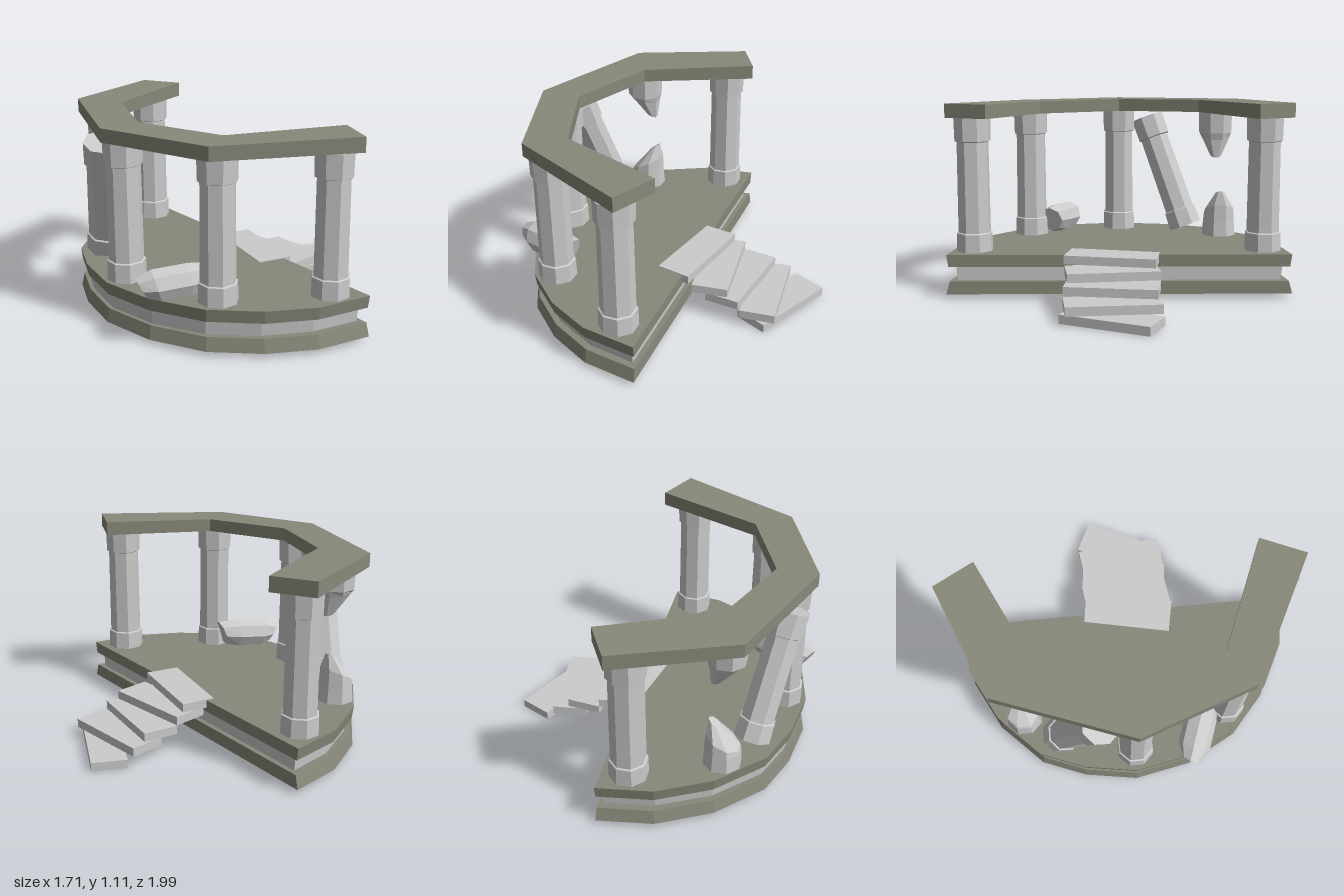
import * as THREE from 'three';

const PALE = new THREE.MeshStandardMaterial({ color: 0xcccccc, flatShading: true });
const OLIVE = new THREE.MeshStandardMaterial({ color: 0x88887a, flatShading: true });

// Skin a list of equal-length point rings and cap both ends; winding is fixed by signed volume.
function loft(name, rings, material) {
  const n = rings[0].length, pos = rings.flat(2), tris = [];
  for (let r = 0; r < rings.length - 1; r++) {
    for (let i = 0; i < n; i++) {
      const j = (i + 1) % n, a = r * n, b = a + n;
      tris.push([a + i, a + j, b + j], [a + i, b + j, b + i]);
    }
  }
  for (const [ring, start, flip] of [[rings[0], 0, true], [rings.at(-1), (rings.length - 1) * n, false]]) {
    const c = pos.length / 3;
    for (let k = 0; k < 3; k++) pos.push(ring.reduce((s, p) => s + p[k], 0) / n);
    for (let i = 0; i < n; i++) {
      const t = [start + i, start + (i + 1) % n, c];
      tris.push(flip ? t.reverse() : t);
    }
  }
  const v = i => new THREE.Vector3().fromArray(pos, i * 3);
  const volume = tris.reduce((s, [a, b, c]) => s + v(a).dot(v(b).cross(v(c))), 0);
  if (volume < 0) tris.forEach(t => t.reverse());
  const g = new THREE.BufferGeometry();
  g.setAttribute('position', new THREE.Float32BufferAttribute(pos, 3));
  g.setIndex(tris.flat());
  g.computeVertexNormals();
  const mesh = new THREE.Mesh(g, material);
  mesh.name = name;
  return mesh;
}

// Octagonal ring; tilt raises the +x side, shift moves the ring along x.
function octagon(y, r, tilt = 0, shift = 0) {
  return Array.from({ length: 8 }, (_, k) => {
    const a = (k + 0.5) * Math.PI / 4;
    return [shift + r * Math.cos(a), y + tilt * Math.cos(a), -r * Math.sin(a)];
  });
}

// Straight-sided prism from an [x, z] outline.
const prism = (name, outline, y0, y1, material, s0 = 1, s1 = 1) =>
  loft(name, [[y0, s0], [y1, s1]].map(([y, s]) => outline.map(([x, z]) => [x * s, y, z * s])), material);

// Full column with wider foot and capital blocks.
const WIDE = 0.108, SHAFT = 0.093;
const column = (name, h) => loft(name, [
  octagon(0, WIDE), octagon(0.11, WIDE - 0.003), octagon(0.115, SHAFT + 0.003),
  octagon(h - 0.14, SHAFT), octagon(h - 0.135, WIDE - 0.003), octagon(h, WIDE),
], PALE);

// Place a mesh whose axis is +y between two points.
function aim(mesh, from, to) {
  const a = new THREE.Vector3(...from), d = new THREE.Vector3(...to).sub(a).normalize();
  mesh.position.copy(a);
  mesh.quaternion.setFromUnitVectors(new THREE.Vector3(0, 1, 0), d);
  return mesh;
}

export function createModel() {
  const group = new THREE.Group();

  // Half-round platform: lower slab, recessed band, upper slab
  const arc = [[0.135, 0.99], [-0.17, 0.94], [-0.42, 0.81], [-0.64, 0.61], [-0.79, 0.32], [-0.85, 0],
    [-0.8, -0.3], [-0.7, -0.55], [-0.46, -0.79], [-0.17, -0.94], [0.135, -0.985]];
  const band = arc.map(([x, z]) => [x > 0 ? 0.105 : x * 0.97, z * 0.95]);
  group.add(
    prism('lowerSlab', arc, 0.03, 0.105, OLIVE, 1.005, 0.985),
    prism('platformBand', band, 0.1, 0.195, PALE, 0.99, 1),
    prism('upperSlab', arc, 0.19, 0.26, OLIVE, 0.99, 1),
  );

  // Standing columns
  for (const [x, z] of [[-0.01, 0.845], [-0.52, 0.555], [-0.72, 0], [-0.01, -0.835]]) {
    const c = column('column', 0.78);
    c.position.set(x, 0.255, z);
    group.add(c);
  }

  // Column leaning against the lintel
  group.add(aim(column('leaningColumn', 0.745), [-0.6, 0.29, -0.43], [-0.73, 0.98, -0.185]));

  // Broken column: pointed stump below, hanging remnant above
  const stump = loft('brokenStump', [
    octagon(0, 0.108), octagon(0.1, 0.1), octagon(0.16, 0.095, 0.045, 0.002), octagon(0.27, 0.03, 0.02, 0.05),
  ], PALE);
  stump.position.set(-0.47, 0.255, -0.63);
  const remnant = loft('hangingRemnant', [
    octagon(0, 0.108), octagon(-0.13, 0.103), octagon(-0.15, 0.092, -0.02), octagon(-0.265, 0.035, -0.015, 0.045),
  ], PALE);
  remnant.position.set(-0.47, 1.035, -0.6);
  group.add(stump, remnant);

  // Fallen drum lying at the rim, with one slanted broken end
  group.add(aim(loft('fallenDrum', [
    octagon(0, 0.06, 0.03), octagon(0.07, 0.092, 0.02), octagon(0.24, 0.092), octagon(0.35, 0.075, -0.03),
  ], PALE), [-0.82, 0.325, 0.315], [-0.48, 0.35, 0.44]));

  // Angled lintel: [innerX, innerZ, outerX, outerZ, bottom, top]
  const lintel = [
    [0.165, 0.745, 0.055, 0.99, 1.035, 1.115], [-0.435, 0.49, -0.63, 0.63, 1.025, 1.1],
    [-0.62, 0, -0.85, 0, 1.03, 1.105], [-0.425, -0.49, -0.57, -0.74, 1.035, 1.11],
    [0.175, -0.775, 0.055, -0.995, 1.035, 1.118],
  ];
  group.add(loft('lintel', lintel.map(([ix, iz, ox, oz, b, t]) =>
    [[ix, b, iz], [ox, b, oz], [ox, t, oz], [ix, t, iz]]), OLIVE));

  // Skewed stair slabs, top to bottom
  const steps = [
    [[0.09, -0.23], [0.28, -0.2], [0.175, 0.32], [-0.02, 0.28]],
    [[0.14, -0.2], [0.34, -0.225], [0.4, 0.29], [0.195, 0.315]],
    [[0.34, -0.225], [0.54, -0.2], [0.47, 0.31], [0.27, 0.29]],
    [[0.43, -0.2], [0.63, -0.225], [0.68, 0.29], [0.48, 0.31]],
    [[0.67, -0.23], [0.85, -0.145], [0.63, 0.325], [0.45, 0.24]],
  ];
  steps.forEach((s, i) => {
    const y = 0.215 - i * 0.0525;
    group.add(prism('step', s, Math.max(y, 0), y + 0.05, PALE));
  });

  return group;
}
